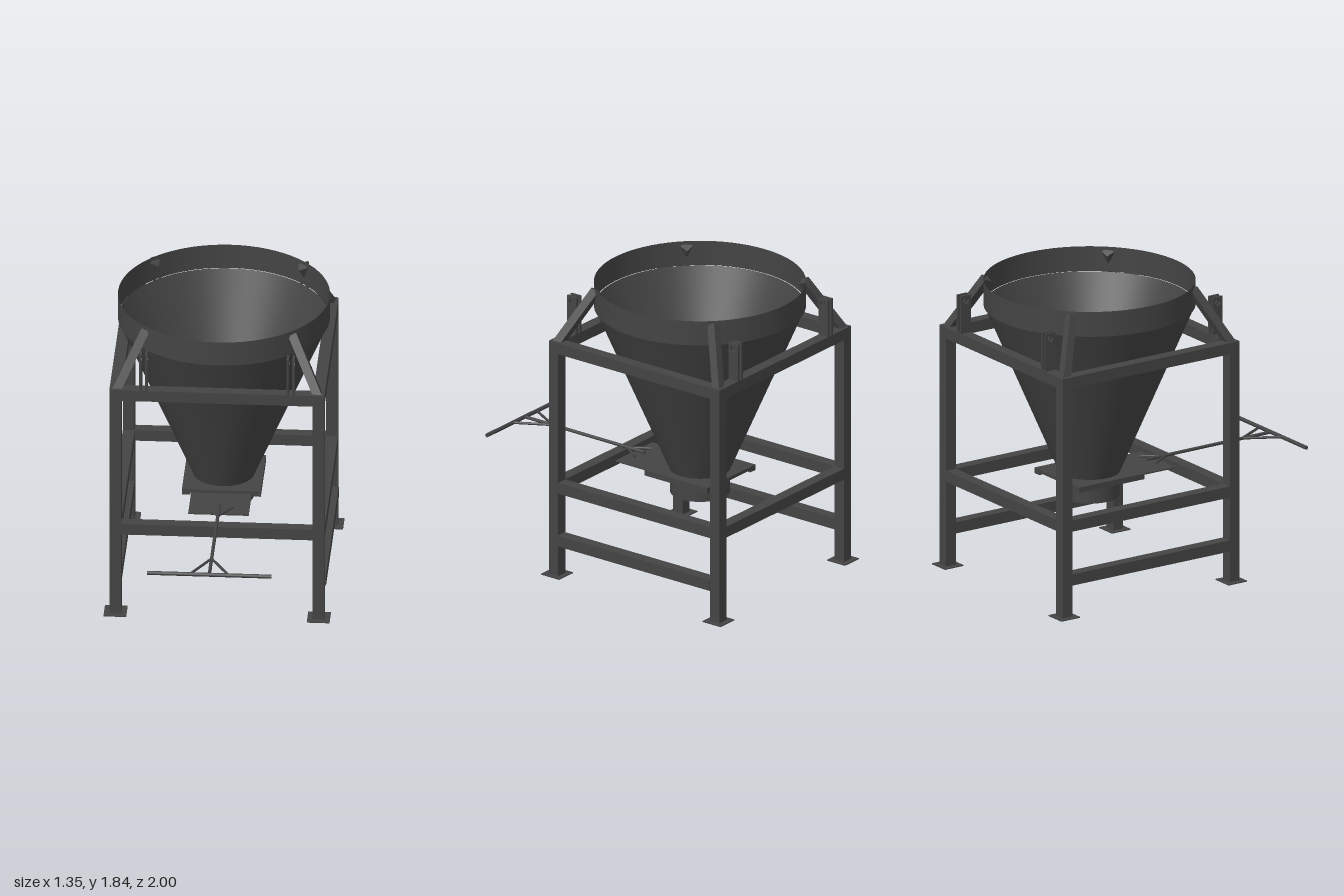
import * as THREE from 'three';

const CZ = -0.325;   // centre of the frame along z
const H = 0.605;     // half spacing of the legs
const T = 0.07;      // tube thickness
const steel = new THREE.MeshStandardMaterial({ color: 0x444444 });
const sheet = new THREE.MeshStandardMaterial({ color: 0x444444, side: THREE.DoubleSide });

export function createModel() {
  const group = new THREE.Group();

  const add = (name, geometry, material = steel) => {
    const mesh = new THREE.Mesh(geometry, material);
    mesh.name = name;
    group.add(mesh);
    return mesh;
  };
  const box = (name, w, h, d, x, y, z) => {
    const mesh = add(name, new THREE.BoxGeometry(w, h, d));
    mesh.position.set(x, y, z);
    return mesh;
  };
  // Straight bar between two points
  const rod = (name, a, b, r = 0.01, sides = 12) => {
    const from = new THREE.Vector3(...a), to = new THREE.Vector3(...b);
    const dir = to.clone().sub(from);
    const mesh = add(name, new THREE.CylinderGeometry(r, r, dir.length(), sides));
    mesh.position.copy(from).add(to).multiplyScalar(0.5);
    mesh.quaternion.setFromUnitVectors(new THREE.Vector3(0, 1, 0), dir.normalize());
    return mesh;
  };
  // Open sheet-metal cone or cylinder around the hopper axis
  const shell = (name, rTop, rBottom, y0, y1) => {
    const mesh = add(name, new THREE.CylinderGeometry(rTop, rBottom, y1 - y0, 72, 1, true), sheet);
    mesh.position.set(0, (y0 + y1) / 2, CZ);
  };

  // Hopper
  shell('hopperRim', 0.63, 0.63, 1.68, 1.835);
  shell('hopperCone', 0.625, 0.175, 0.625, 1.68);
  shell('hopperOutlet', 0.178, 0.178, 0.49, 0.61);

  // Square flange with a round opening
  const plate = new THREE.Shape([[-1, -1], [1, -1], [1, 1], [-1, 1]]
    .map(([x, y]) => new THREE.Vector2(x * 0.235, y * 0.235)));
  plate.holes.push(new THREE.Path().absarc(0, 0, 0.175, 0, Math.PI * 2, true));
  const flangeGeometry = new THREE.ExtrudeGeometry(plate, { depth: 0.02, bevelEnabled: false, curveSegments: 36 });
  flangeGeometry.rotateX(-Math.PI / 2);
  add('outletFlange', flangeGeometry).position.set(0, 0.62, CZ);
  for (const s of [-1, 1]) box('gateGuide', 0.05, 0.015, 0.47, s * 0.21, 0.6125, CZ);

  // Sliding gate, half open, with its pull handle
  box('slidingGate', 0.36, 0.008, 0.56, 0, 0.614, -0.11);
  rod('handleRod', [0, 0.632, 0.09], [0, 0.635, 0.985]);
  rod('handleBar', [-0.37, 0.635, 0.988], [0.37, 0.635, 0.988], 0.012);
  for (const s of [-1, 1]) {
    rod('handleBrace', [0, 0.635, 0.78], [s * 0.115, 0.635, 0.985], 0.008);
    rod('gateBrace', [0, 0.63, 0.22], [s * 0.08, 0.628, 0.1], 0.008);
  }

  // Legs, feet and the corner struts that hold the hopper rim
  for (const sx of [-1, 1]) for (const sz of [-1, 1]) {
    const x = sx * H, z = CZ + sz * H;
    box('leg', T, 1.43, T, x, 0.715, z);
    box('foot', 0.135, 0.006, 0.135, x, 0.003, z);

    const strut = new THREE.Group();
    strut.name = 'cornerStrut';
    const bar = new THREE.Mesh(new THREE.BoxGeometry(0.052, 0.40, 0.052), steel);
    bar.name = 'strutBar';
    bar.rotation.y = Math.PI / 4;
    strut.add(bar);
    const along = new THREE.Vector3(-sx * 0.16, 0.32, -sz * 0.16).normalize();
    const side = new THREE.Vector3(sx, 0, -sz).normalize();
    const out = side.clone().cross(along);
    strut.quaternion.setFromRotationMatrix(new THREE.Matrix4().makeBasis(side, along, out));
    strut.position.set(sx * 0.52, 1.643, CZ + sz * 0.52);
    group.add(strut);
  }

  // Horizontal beams
  const span = 2 * H - T;
  for (const s of [-1, 1]) {
    box('topCrossBeam', 2 * H + T, T, T, 0, 1.465, CZ + s * H);
    box('topSideBeam', T, T, span, s * H, 1.465, CZ);
    box('middleCrossBeam', span, T, T, 0, 0.57, CZ + s * H);
    box('middleSideBeam', T, T, span, s * H, 0.57, CZ);
    box('lowerSideBeam', T, T, span, s * H + (s > 0 ? 0.005 : 0), 0.233, CZ);
  }

  // Pairs of drilled lifting lugs on the front and back top beams
  const lug = new THREE.Shape();
  lug.moveTo(-0.035, 0).lineTo(0.035, 0).lineTo(0.035, 0.235).lineTo(-0.035, 0.235).closePath();
  lug.holes.push(new THREE.Path().absarc(0, 0.2, 0.02, 0, Math.PI * 2, true));
  const lugGeometry = new THREE.ExtrudeGeometry(lug, { depth: 0.014, bevelEnabled: false });
  lugGeometry.translate(0, 0, -0.007).rotateY(Math.PI / 2);
  for (const sx of [-1, 1]) for (const sz of [-1, 1]) for (const gap of [-0.017, 0.017]) {
    add('liftingLug', lugGeometry).position.set(sx * 0.438 + gap, 1.5, CZ + sz * H);
  }

  return group;
}
